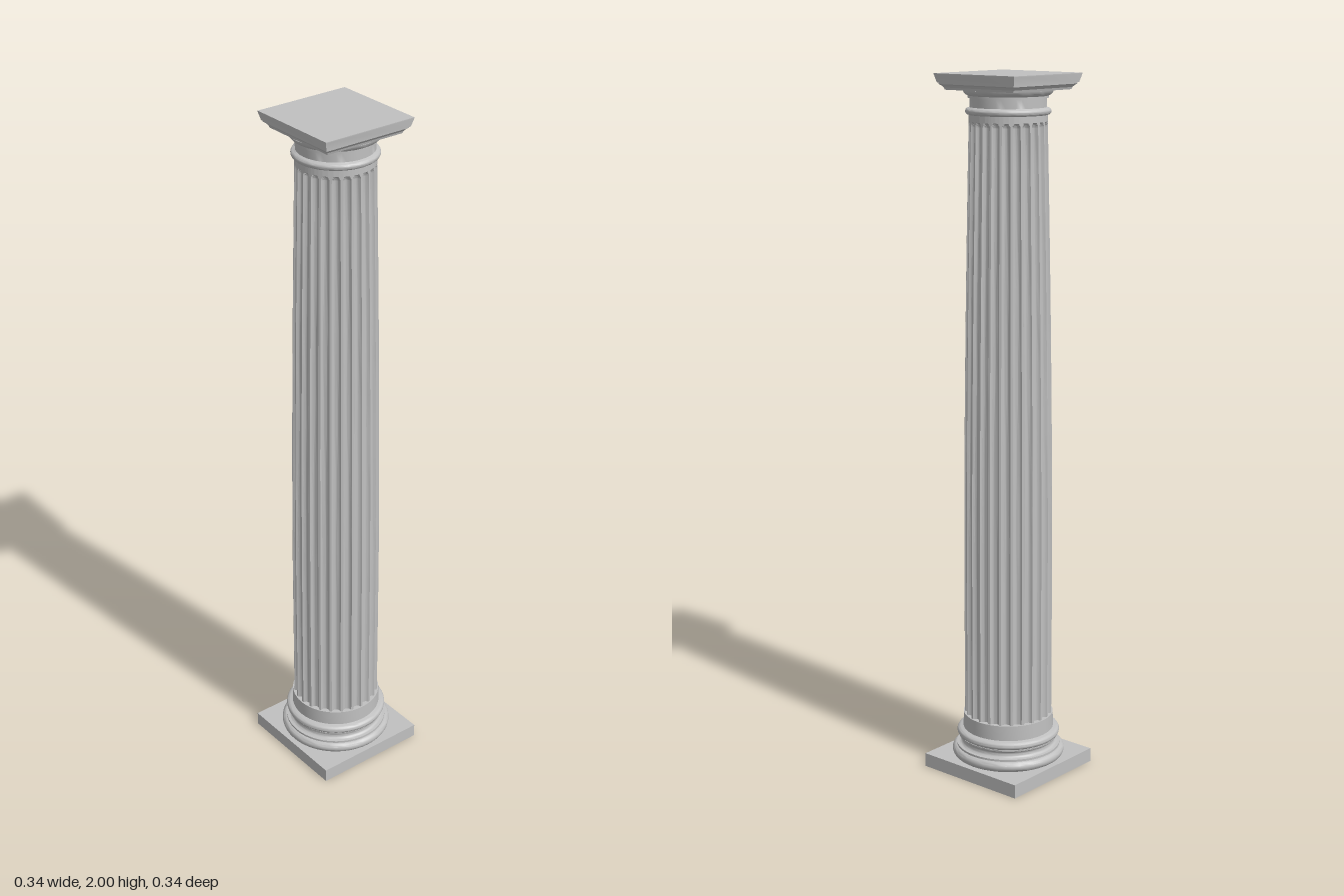
import * as THREE from 'three';
import { toCreasedNormals } from 'three/addons/utils/BufferGeometryUtils.js';

const FLUTES = 24, STEPS = 10, FLUTE_DEPTH = 0.011;
const SHAFT_BOTTOM = 0.17, SHAFT_TOP = 1.89;

const stone = new THREE.MeshStandardMaterial({ color: 0xc0c0c0 });
stone.name = 'grey stone';

// Points of a half-round moulding from y0 to y1, bulging (or hollowed) by depth
function bulge(r, y0, y1, depth, n = 8) {
  return Array.from({ length: n + 1 }, (_, i) => {
    const a = (i / n) * Math.PI;
    return [r + depth * Math.sin(a), (y0 + y1) / 2 - ((y1 - y0) / 2) * Math.cos(a)];
  });
}

// Turned part from [radius, height] pairs
function turned(name, profile, segments = 48) {
  const points = profile.map(([r, y]) => new THREE.Vector2(r, y));
  const mesh = new THREE.Mesh(toCreasedNormals(new THREE.LatheGeometry(points, segments), 0.6), stone);
  mesh.name = name;
  return mesh;
}

// Square moulded slab from [half width, height] pairs
function squareSlab(name, profile) {
  const points = profile.map(([r, y]) => new THREE.Vector2(r * Math.SQRT2, y));
  const geometry = new THREE.LatheGeometry(points, 4, Math.PI / 4);
  const mesh = new THREE.Mesh(toCreasedNormals(geometry, 0.3), stone);
  mesh.name = name;
  return mesh;
}

// Shaft radius with a gentle swelling towards the middle
function shaftRadius(y) {
  const t = Math.max(0, (y - 0.6) / (SHAFT_TOP - 0.6));
  return 0.126 - 0.019 * Math.pow(t, 1.6);
}

function flutedShaft() {
  // Few rows along the body, many through the rounded flute heads
  const headStart = 1.855, headEnd = 1.872;
  const rows = [SHAFT_BOTTOM];
  for (let i = 1; i <= 16; i++) rows.push(SHAFT_BOTTOM + ((headStart - SHAFT_BOTTOM) * i) / 16);
  for (let i = 1; i <= 6; i++) rows.push(headStart + ((headEnd - headStart) * i) / 6);
  rows.push(SHAFT_TOP);

  const points = rows.map((y) => new THREE.Vector2(shaftRadius(y), y));
  const geometry = new THREE.LatheGeometry(points, FLUTES * STEPS);
  const pos = geometry.attributes.position;
  for (let i = 0; i < pos.count; i++) {
    const step = Math.floor(i / rows.length) % STEPS;
    const y = pos.getY(i);
    // Each flute spans eight of ten steps; the rest is the flat fillet
    const u = (step - 5) / 4;
    const v = Math.max(0, (y - headStart) / (headEnd - headStart));
    const depth = FLUTE_DEPTH * Math.sqrt(Math.max(0, 1 - u * u - v * v));
    const scale = 1 - depth / shaftRadius(y);
    pos.setX(i, pos.getX(i) * scale);
    pos.setZ(i, pos.getZ(i) * scale);
  }
  const mesh = new THREE.Mesh(toCreasedNormals(geometry, 0.5), stone);
  mesh.name = 'flutedShaft';
  return mesh;
}

export function createModel() {
  const column = new THREE.Group();
  column.name = 'column';

  // Base: square plinth and round mouldings
  const plinth = new THREE.Mesh(new THREE.BoxGeometry(0.344, 0.04, 0.344), stone);
  plinth.name = 'plinth';
  plinth.position.y = 0.02;
  column.add(plinth);

  column.add(turned('baseMouldings', [
    [0.13, 0.04],
    ...bulge(0.15, 0.04, 0.07, 0.013),
    [0.15, 0.076],
    ...bulge(0.143, 0.076, 0.098, -0.009),
    [0.143, 0.102],
    ...bulge(0.138, 0.102, 0.124, 0.011),
    [0.131, 0.126], [0.13, 0.17], [0.1, 0.17],
  ]));

  column.add(flutedShaft());

  // Capital: neck ring, neck and spreading cushion
  column.add(turned('capitalMouldings', [
    [0.095, 1.89],
    ...bulge(0.109, 1.89, 1.908, 0.008),
    [0.105, 1.91], [0.105, 1.935], [0.11, 1.935], [0.11, 1.941],
    [0.116, 1.944], [0.121, 1.949], [0.123, 1.956], [0.09, 1.956],
  ]));

  // Square abacus with a flared moulding and a sloping upper edge
  column.add(squareSlab('abacus', [
    [0, 1.956], [0.121, 1.956], [0.123, 1.962], [0.128, 1.968], [0.133, 1.971],
    [0.133, 1.975], [0.136, 1.975], [0.142, 1.997], [0.142, 2], [0, 2],
  ]));

  return column;
}
